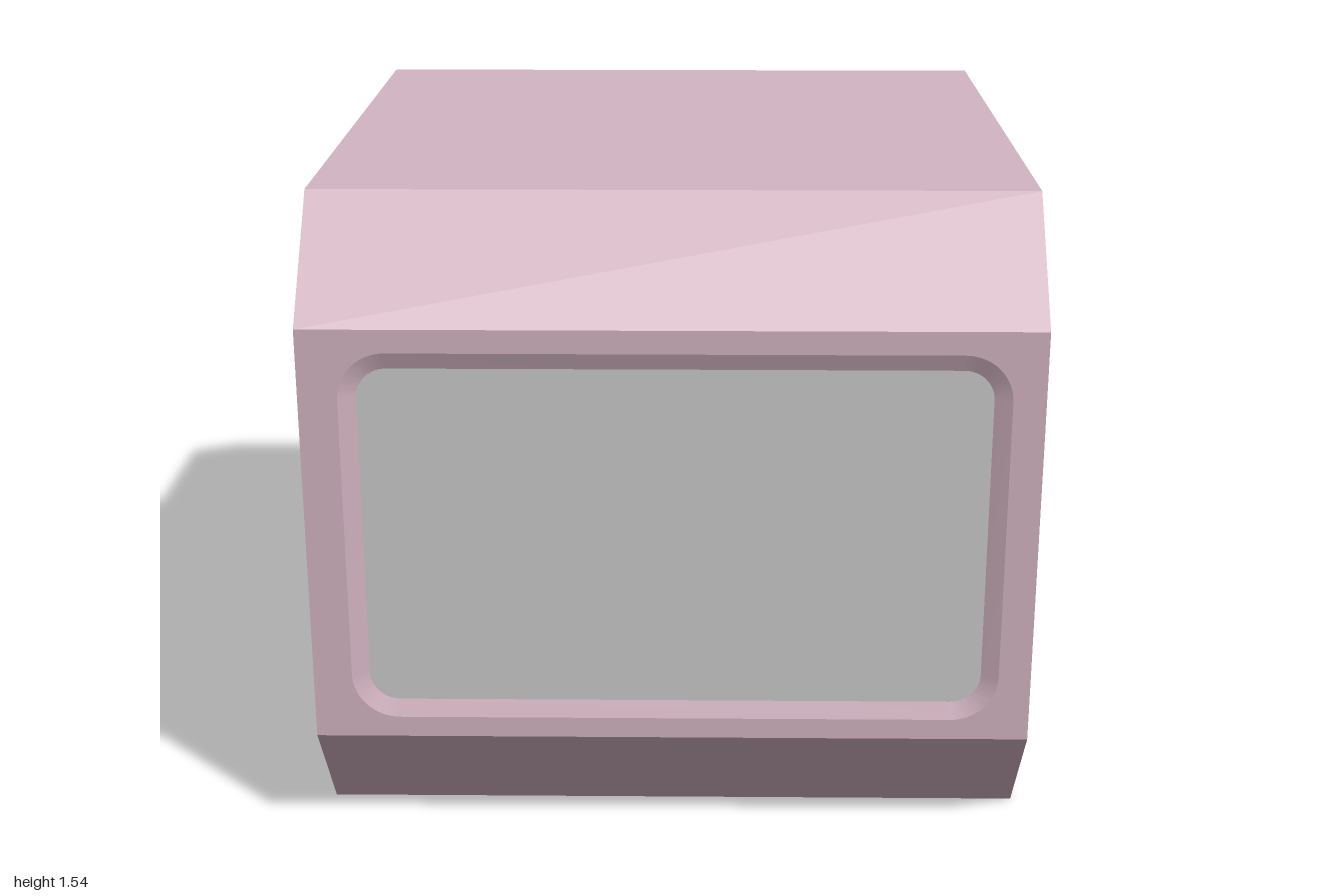
import * as THREE from 'three';
import { toCreasedNormals } from 'three/addons/utils/BufferGeometryUtils.js';

const W = 1.68, Y0 = 0.27, Y1 = 1.275;          // tunnel width, side wall bottom and top
const OUT = 1, IN = 0.915;                       // outer and inner wall faces
const WIN = { x: 0.0075, y: 0.77, w: 1.435, h: 0.82, r: 0.07 };

const pink = new THREE.MeshStandardMaterial({ color: 0xd4b5c3, side: THREE.DoubleSide });
const grey = new THREE.MeshStandardMaterial({ color: 0xcccccc });
const dark = new THREE.MeshStandardMaterial({ color: 0x3a3a3a });

function add(parent, name, geometry, material) {
  const mesh = new THREE.Mesh(geometry, material);
  mesh.name = name;
  parent.add(mesh);
  return mesh;
}

// Rounded window outline, grown outward by an offset
function outline(off, cx, Type = THREE.Shape) {
  const a = WIN.w / 2 + off, b = WIN.h / 2 + off, r = WIN.r + off, y = WIN.y;
  const s = new Type();
  s.absarc(cx + a - r, y + b - r, r, 0, Math.PI / 2);
  s.absarc(cx - a + r, y + b - r, r, Math.PI / 2, Math.PI);
  s.absarc(cx - a + r, y - b + r, r, Math.PI, Math.PI * 1.5);
  s.absarc(cx + a - r, y - b + r, r, Math.PI * 1.5, Math.PI * 2);
  s.closePath();
  return s;
}

// Flat wall face with a window opening
function wallFace(off, cx, z) {
  const s = new THREE.Shape([[-W / 2, Y0], [W / 2, Y0], [W / 2, Y1], [-W / 2, Y1]]
    .map(p => new THREE.Vector2(...p)));
  s.holes.push(outline(off, cx, THREE.Path));
  const g = new THREE.ShapeGeometry(s, 8);
  if (z < OUT) {                                  // inner face looks into the tunnel
    const i = g.index.array;
    for (let k = 0; k < i.length; k += 3) [i[k], i[k + 1]] = [i[k + 1], i[k]];
    g.computeVertexNormals();
  }
  return g.translate(0, 0, z);
}

// Stepped window surround lofted through [offset, z] rings
function surround(rings, cx) {
  const pos = [], idx = [];
  let n = 0;
  rings.forEach(([off, z]) => {
    const pts = outline(off, cx).getPoints(8);
    n = pts.length;
    pts.forEach(p => pos.push(p.x, p.y, z));
  });
  for (let j = 0; j < rings.length - 1; j++) {
    for (let i = 0; i < n; i++) {
      const a = j * n + i, b = j * n + (i + 1) % n;
      idx.push(a, b, a + n, b, b + n, a + n);
    }
  }
  // wind the faces towards the middle of the opening
  for (let k = 0; k < idx.length; k += 3) [idx[k], idx[k + 1]] = [idx[k + 1], idx[k]];
  const g = new THREE.BufferGeometry();
  g.setAttribute('position', new THREE.Float32BufferAttribute(pos, 3));
  g.setIndex(idx);
  return toCreasedNormals(g, 0.5);
}

// Side wall with window, built facing +z
function sideWall(name, cx) {
  const wall = new THREE.Group();
  wall.name = name;
  add(wall, 'outerFace', wallFace(0.04, cx, OUT), pink);
  add(wall, 'innerFace', wallFace(0.05, cx, IN), pink);
  add(wall, 'windowSurround', surround([
    [0.04, OUT], [0, 0.985], [0, 0.955], [0.03, 0.955], [0.03, 0.94], [0.05, 0.94], [0.05, IN],
  ], cx), pink);
  for (const s of [-1, 1]) {
    const end = add(wall, 'wallEnd', new THREE.PlaneGeometry(OUT - IN, Y1 - Y0), pink);
    end.position.set(s * W / 2, (Y0 + Y1) / 2, (OUT + IN) / 2);
    end.rotation.y = s * Math.PI / 2;
  }
  const pane = new THREE.ExtrudeGeometry(outline(0, cx), { depth: 0.019, bevelEnabled: false, curveSegments: 8 });
  add(wall, 'windowPane', pane.translate(0, 0, 0.966), grey);
  // horizontal bars on the inside of the pane
  for (const k of [-1, 1]) {
    const bar = add(wall, 'windowBar', new THREE.BoxGeometry(WIN.w, 0.025, 0.025), dark);
    bar.position.set(cx, WIN.y + k * WIN.h * 0.18, 0.955);
  }
  return wall;
}

// Roof or floor with its slanted shoulders; half profile given as [z, y]
function capSection(outer, inner) {
  const arc = half => [...half, ...half.map(([z, y]) => [-z, y]).reverse()];
  const pts = [...arc(outer), ...arc(inner).reverse()];
  const s = new THREE.Shape(pts.map(p => new THREE.Vector2(...p)));
  const g = new THREE.ExtrudeGeometry(s, { depth: W, bevelEnabled: false });
  return g.translate(0, 0, -W / 2).rotateY(-Math.PI / 2);
}

export function createModel() {
  const model = new THREE.Group();
  model.name = 'tunnelModule';
  add(model, 'roof', capSection([[OUT, Y1], [0.77, 1.54]], [[IN, Y1], [0.76, 1.465]]), pink);
  add(model, 'floor', capSection([[OUT, Y0], [0.8, 0]], [[IN, Y0], [0.76, 0.085]]), pink);
  model.add(sideWall('frontWall', WIN.x));
  const back = sideWall('backWall', -WIN.x);
  back.rotation.y = Math.PI;
  model.add(back);
  return model;
}
